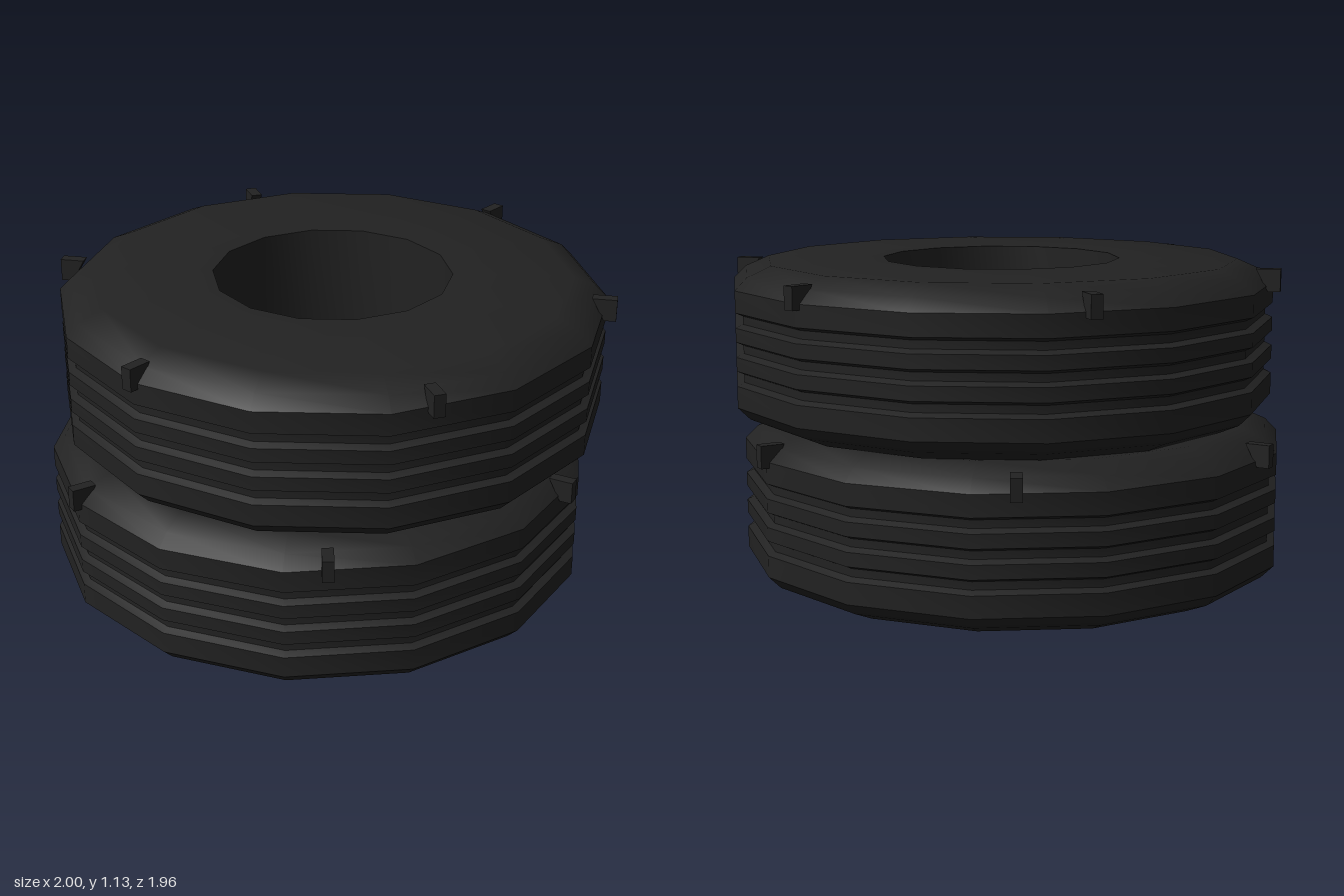
import * as THREE from 'three';
import { toCreasedNormals } from 'three/addons/utils/BufferGeometryUtils.js';

const HEIGHT = 0.565, OUTER = 0.973, HOLE = 0.424, SIDES = 14, LUGS = 6;

const rubber = new THREE.MeshStandardMaterial({ color: 0x222222 });
rubber.name = 'black rubber';

// Closed cross-section: bevelled shoulders and three tread grooves
function tyreGeometry() {
  const pts = [[HOLE, 0], [0.845, 0], [0.93, 0.037], [OUTER, 0.08]];
  for (const c of [0.182, 0.2825, 0.383]) {
    pts.push([OUTER, c - 0.026], [OUTER - 0.026, c - 0.014],
      [OUTER - 0.026, c + 0.014], [OUTER, c + 0.026]);
  }
  pts.push([OUTER, HEIGHT - 0.08], [0.93, HEIGHT - 0.037], [0.845, HEIGHT], [HOLE, HEIGHT], [HOLE, 0]);
  const profile = pts.map(([r, y]) => new THREE.Vector2(r, y));
  return toCreasedNormals(new THREE.LatheGeometry(profile, SIDES, Math.PI / 2), 0.61);
}

// Wedge-shaped lug, its long edge on top, pointing along +x
function lugGeometry() {
  const shape = new THREE.Shape([
    new THREE.Vector2(0.912, 0.545), new THREE.Vector2(0.955, 0.466),
    new THREE.Vector2(0.998, 0.466), new THREE.Vector2(0.998, 0.545),
  ]);
  const geo = new THREE.ExtrudeGeometry(shape, { depth: 0.04, bevelEnabled: false });
  return geo.translate(0, 0, -0.02);
}

export function createModel() {
  const model = new THREE.Group();
  model.name = 'tyreStack';
  const bodyGeo = tyreGeometry(), lugGeo = lugGeometry();

  const addTyre = (name, x, y, z, turn) => {
    const tyre = new THREE.Group();
    tyre.name = name;
    const body = new THREE.Mesh(bodyGeo, rubber);
    body.name = 'tyreBody';
    tyre.add(body);
    // Lugs spaced evenly around the upper shoulder
    for (let i = 0; i < LUGS; i++) {
      const lug = new THREE.Mesh(lugGeo, rubber);
      lug.name = 'lug';
      lug.rotation.y = (i / LUGS) * Math.PI * 2;
      tyre.add(lug);
    }
    tyre.position.set(x, y, z);
    tyre.rotation.y = turn;
    model.add(tyre);
  };

  addTyre('lowerTyre', -0.004, 0, -0.026, 0);
  addTyre('upperTyre', 0.034, HEIGHT, 0.003, 0.3);
  return model;
}
